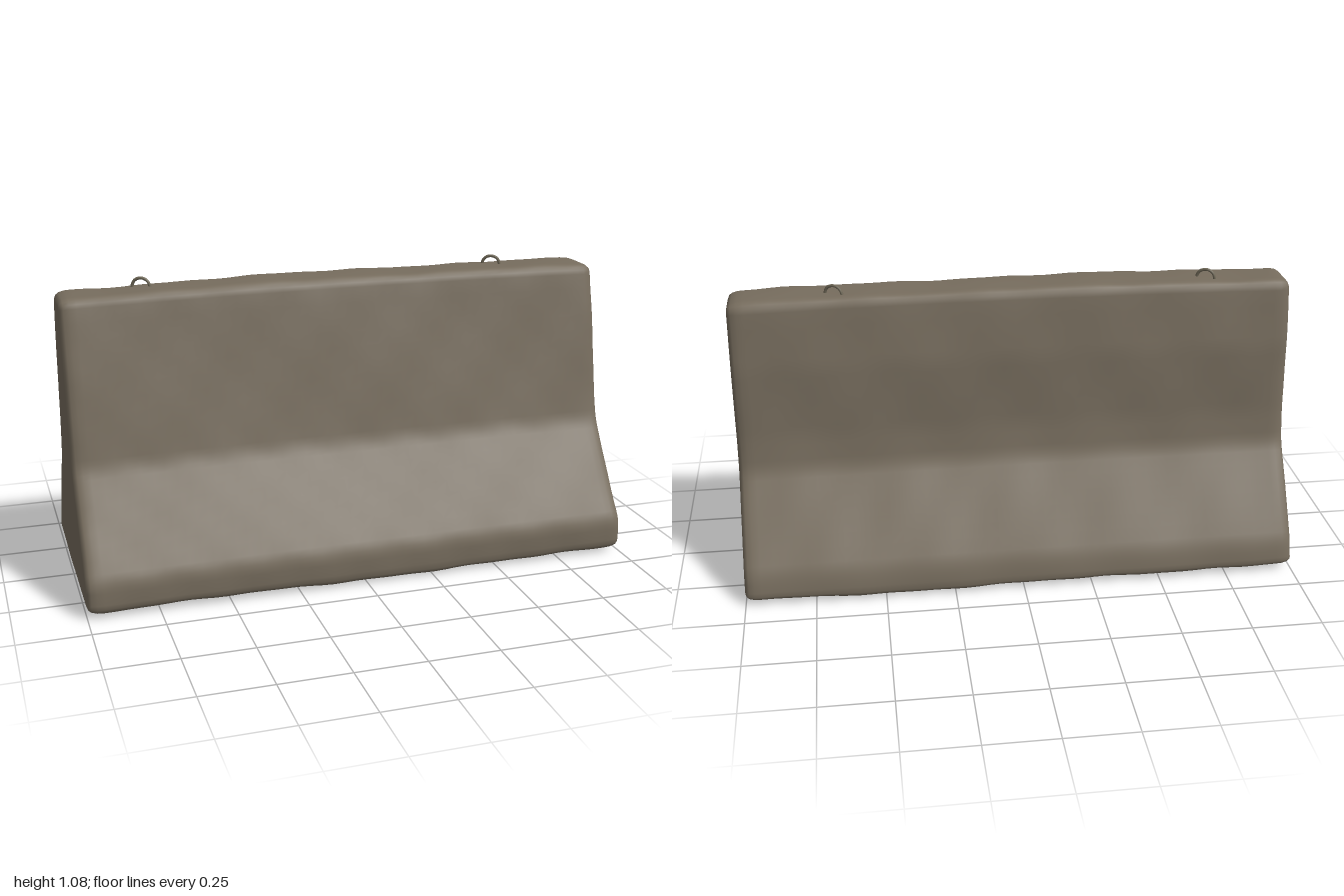
import * as THREE from 'three';

const concrete = new THREE.MeshStandardMaterial({ color: 0x776d5e });
concrete.name = 'weathered concrete';
const steel = new THREE.MeshStandardMaterial({ color: 0x716a59 });
steel.name = 'dull steel';

// Corners of the cross-section as [z, y]: up the front, over the top, down the back
const CORNERS = [
  [0.405, 0.018], [0.403, 0.13], [0.18, 0.46], [0.058, 1.036],
  [-0.113, 1.036], [-0.15, 0.8], [-0.165, 0.55], [-0.185, 0.43],
  [-0.385, 0.115], [-0.408, 0.02], [-0.1, 0.012], [0.15, 0.014],
];

// Closed outline with softened corners and evenly divided sides
function outline() {
  const pts = [];
  const c = CORNERS.map(([z, y]) => new THREE.Vector2(z, y));
  const n = c.length;
  const cut = (a, b) => Math.min(0.035, a.distanceTo(b) * 0.4) / a.distanceTo(b);
  c.forEach((p, i) => {
    const prev = c[(i + n - 1) % n], next = c[(i + 1) % n];
    const start = p.clone().lerp(prev, cut(p, prev));
    const end = p.clone().lerp(next, cut(p, next));
    pts.push(...new THREE.QuadraticBezierCurve(start, p, end).getPoints(4));
    const stop = next.clone().lerp(p, cut(next, p));
    const steps = Math.max(1, Math.round(end.distanceTo(stop) / 0.05));
    for (let k = 1; k < steps; k++) pts.push(end.clone().lerp(stop, k / steps));
  });
  return pts;
}

// Gentle unevenness of the cast surface
const waviness = (x, y, z) =>
  0.0022 * Math.sin(6 * x + 9 * y + 4 * z) +
  0.0016 * Math.sin(17 * x - 13 * y + 8 * z + 1) +
  0.001 * Math.sin(31 * x + 27 * y - 19 * z);

function barrierGeometry() {
  const loop = outline(), n = loop.length;
  const normals = loop.map((p, j) => {
    const t = loop[(j + 1) % n].clone().sub(loop[(j + n - 1) % n]).normalize();
    return new THREE.Vector2(t.y, -t.x);
  });

  // Stations along the length, pulled in at both ends to round the edges
  const ends = [[1, 0.026], [0.995, 0.014], [0.985, 0.006], [0.965, 0.001]];
  const stations = ends.map(([x, inset]) => [-x, inset]);
  for (let i = 0; i <= 44; i++) stations.push([-0.94 + (1.88 * i) / 44, 0]);
  stations.push(...ends.slice().reverse());

  const pos = [], index = [];
  stations.forEach(([x, inset], i) => {
    loop.forEach((p, j) => {
      const d = waviness(x, p.y, p.x) - inset;
      const z = p.x + normals[j].x * d;
      let y = p.y + normals[j].y * d;
      y += 0.011 * (1 - x * x) * p.y; // slight crown
      if (p.y < 0.05) y -= 0.008 * Math.exp(-(((x - 0.3) / 0.5) ** 2)); // sagging base
      pos.push(x, Math.max(0, y), z);
      if (i === stations.length - 1) return;
      const a = i * n + j, b = i * n + ((j + 1) % n);
      index.push(a, a + n, b + n, a, b + n, b);
    });
  });

  // Flat end faces
  const last = (stations.length - 1) * n;
  for (const [base, side] of [[0, -1], [last, 1]]) {
    const ring = loop.map((_, j) => new THREE.Vector2(pos[(base + j) * 3 + 2], pos[(base + j) * 3 + 1]));
    for (const [a, b, c] of THREE.ShapeUtils.triangulateShape(ring, [])) {
      const area = ring[b].clone().sub(ring[a]).cross(ring[c].clone().sub(ring[a]));
      if (area * side < 0) index.push(base + a, base + b, base + c);
      else index.push(base + a, base + c, base + b);
    }
  }

  const g = new THREE.BufferGeometry();
  g.setAttribute('position', new THREE.Float32BufferAttribute(pos, 3));
  g.setIndex(index);
  g.computeVertexNormals();
  return g;
}

export function createModel() {
  const group = new THREE.Group();
  group.name = 'roadBarrier';

  const body = new THREE.Mesh(barrierGeometry(), concrete);
  body.name = 'barrierBody';
  group.add(body);

  // Lifting loops set into the top
  const path = new THREE.CatmullRomCurve3([
    [-0.032, -0.03], [-0.032, 0.015], [-0.022, 0.034], [0, 0.042],
    [0.022, 0.034], [0.032, 0.015], [0.032, -0.03],
  ].map(([x, y]) => new THREE.Vector3(x, y, 0)));
  const loopGeometry = new THREE.TubeGeometry(path, 24, 0.0055, 8);
  for (const [name, x] of [['rightLiftingLoop', -0.7], ['leftLiftingLoop', 0.63]]) {
    const hook = new THREE.Mesh(loopGeometry, steel);
    hook.name = name;
    hook.position.set(x, 1.029, -0.052);
    hook.rotation.y = -0.45;
    group.add(hook);
  }
  return group;
}
